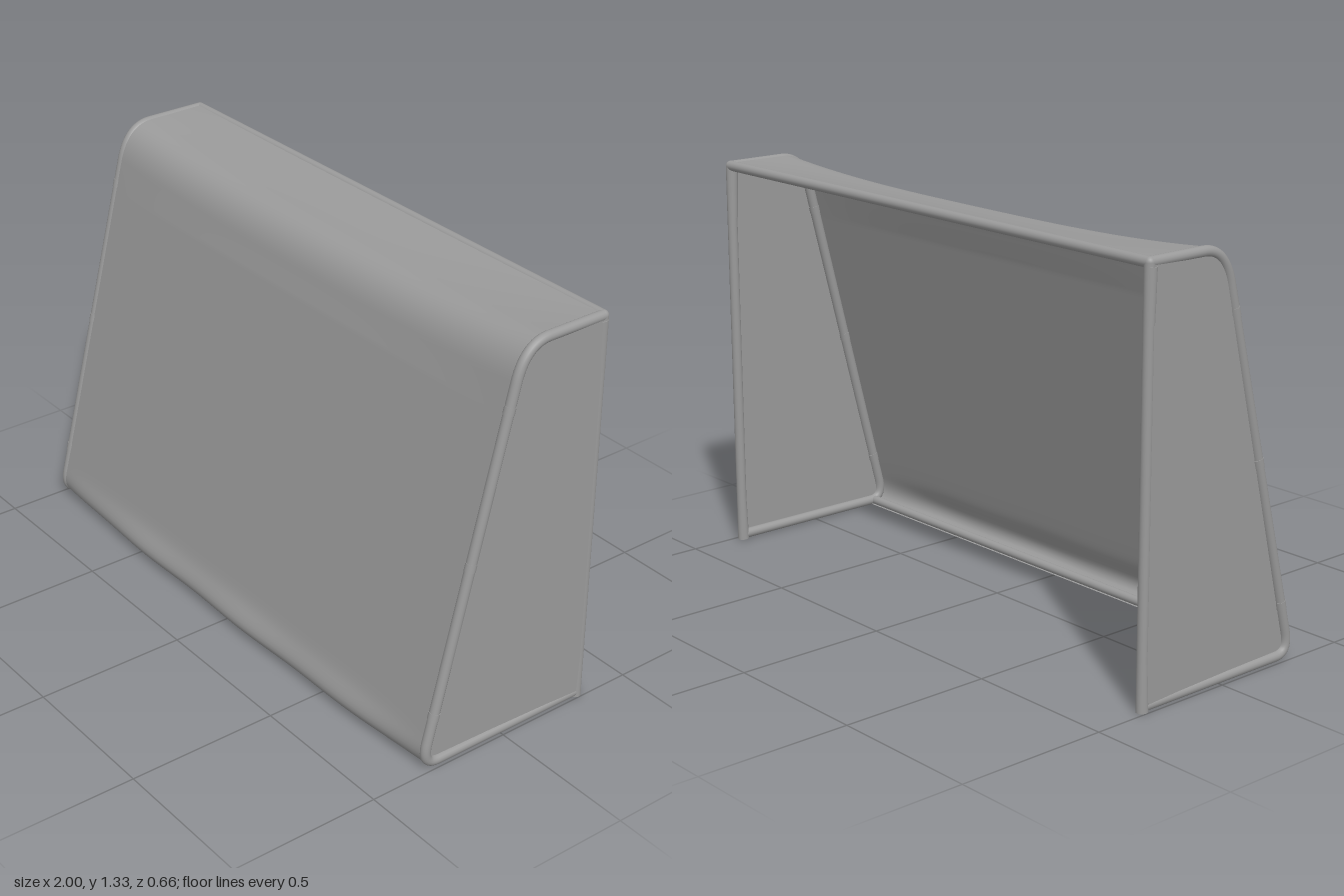
import * as THREE from 'three';

const R = 0.0165, X = 0.981, BACK = -0.315, TOP = 1.31;
const material = new THREE.MeshStandardMaterial({ color: 0x9a9a9a });
const netMaterial = new THREE.MeshStandardMaterial({ color: 0x9a9a9a, side: THREE.DoubleSide });
const v = (y, z) => new THREE.Vector3(0, y, z);

// Side outline: top rail, rounded shoulder, sloping stay, rounded heel
function sideCurve(withBase) {
  const path = new THREE.CurvePath();
  path.add(new THREE.LineCurve3(v(TOP, BACK), v(TOP, -0.11)));
  path.add(new THREE.QuadraticBezierCurve3(v(TOP, -0.11), v(TOP, -0.023), v(1.2, 0.005)));
  path.add(new THREE.LineCurve3(v(1.2, 0.005), v(0.09, 0.287)));
  path.add(new THREE.QuadraticBezierCurve3(v(0.09, 0.287), v(R, 0.306), v(R, 0.245)));
  if (withBase) path.add(new THREE.LineCurve3(v(R, 0.245), v(R, BACK)));
  return path;
}

function add(parent, name, geometry, mat = material) {
  const mesh = new THREE.Mesh(geometry, mat);
  mesh.name = name;
  parent.add(mesh);
  return mesh;
}

// Straight round bar between two points
function bar(parent, name, a, b, r = R, rTop = r) {
  const dir = b.clone().sub(a);
  const mesh = add(parent, name, new THREE.CylinderGeometry(rTop, r, dir.length(), 20));
  mesh.position.copy(a).add(b).multiplyScalar(0.5);
  mesh.quaternion.setFromUnitVectors(new THREE.Vector3(0, 1, 0), dir.normalize());
}

// Slack sheet laid over the tubes: sags behind the crossbar, bellies out along the ground
function backNet() {
  const nx = 48, nt = 160, lift = 0.012, curve = sideCurve(false);
  const geo = new THREE.PlaneGeometry(1, 1, nx, nt);
  const pos = geo.attributes.position;
  for (let j = 0; j <= nt; j++) {
    const t = j / nt, p = curve.getPointAt(t), dir = curve.getTangentAt(t);
    const y = p.y + dir.z * lift, z = p.z - dir.y * lift;
    const sag = t < 0.3 ? 0.033 * Math.sin(Math.PI * t / 0.3) : 0;
    const belly = Math.exp(-(((p.y - 0.035) / 0.05) ** 2)) * Math.min(1, (1 - t) / 0.025);
    for (let i = 0; i <= nx; i++) {
      const s = (i / nx) * 2 - 1, w = 1 - Math.abs(s) ** 3;
      const out = belly * w * (0.025 + 0.003 * Math.cos((s - 0.1) * 11));
      pos.setXYZ(j * (nx + 1) + i, s * X, y - sag * w - out * 0.15, z + out);
    }
  }
  geo.computeVertexNormals();
  return geo;
}

// Flat side sheet, running from the middle of the stay to the outer face of the post
function sideNet(side) {
  const shape = new THREE.Shape(sideCurve(true).getSpacedPoints(100).map(p => new THREE.Vector2(p.z, p.y)));
  const geo = new THREE.ShapeGeometry(shape).rotateY(-Math.PI / 2);
  const pos = geo.attributes.position;
  for (let i = 0; i < pos.count; i++) pos.setX(i, side * 0.025 * (0.287 - pos.getZ(i)));
  geo.computeVertexNormals();
  return geo;
}

export function createModel() {
  const goal = new THREE.Group();
  goal.name = 'goal';

  for (const [side, label] of [[1, 'left'], [-1, 'right']]) {
    const frame = new THREE.Group();
    frame.name = label + 'Side';
    frame.position.x = side * X;
    goal.add(frame);

    add(frame, 'sideRail', new THREE.TubeGeometry(sideCurve(true), 240, R, 16));
    bar(frame, 'post', v(0, BACK), v(TOP, BACK));
    add(frame, 'postCorner', new THREE.SphereGeometry(R, 20, 14)).position.set(0, TOP, BACK);
    add(frame, 'sideNet', sideNet(side), netMaterial);

    // Net folded around the top and foot of the post
    bar(frame, 'upperNetFold', v(1.135, BACK + 0.001), v(1.298, BACK + 0.004), R + 0.001, R + 0.003);
    bar(frame, 'lowerNetFold', v(0.001, BACK + 0.003), v(0.15, BACK), R + 0.002, R);

    // Ties holding the net to the sloping stay
    for (const y of [1.12, 0.65, 0.18]) {
      const z = 0.005 + (1.2 - y) * 0.254;
      bar(frame, 'netTie', v(y - 0.012, z + 0.003), v(y + 0.012, z - 0.003), R + 0.0013);
    }
  }

  // Bars joining the two sides
  bar(goal, 'crossbar', new THREE.Vector3(-X, TOP, BACK), new THREE.Vector3(X, TOP, BACK));
  bar(goal, 'groundBar', new THREE.Vector3(-X, R, 0.262), new THREE.Vector3(X, R, 0.262), 0.015);

  add(goal, 'backNet', backNet(), netMaterial);
  return goal;
}
